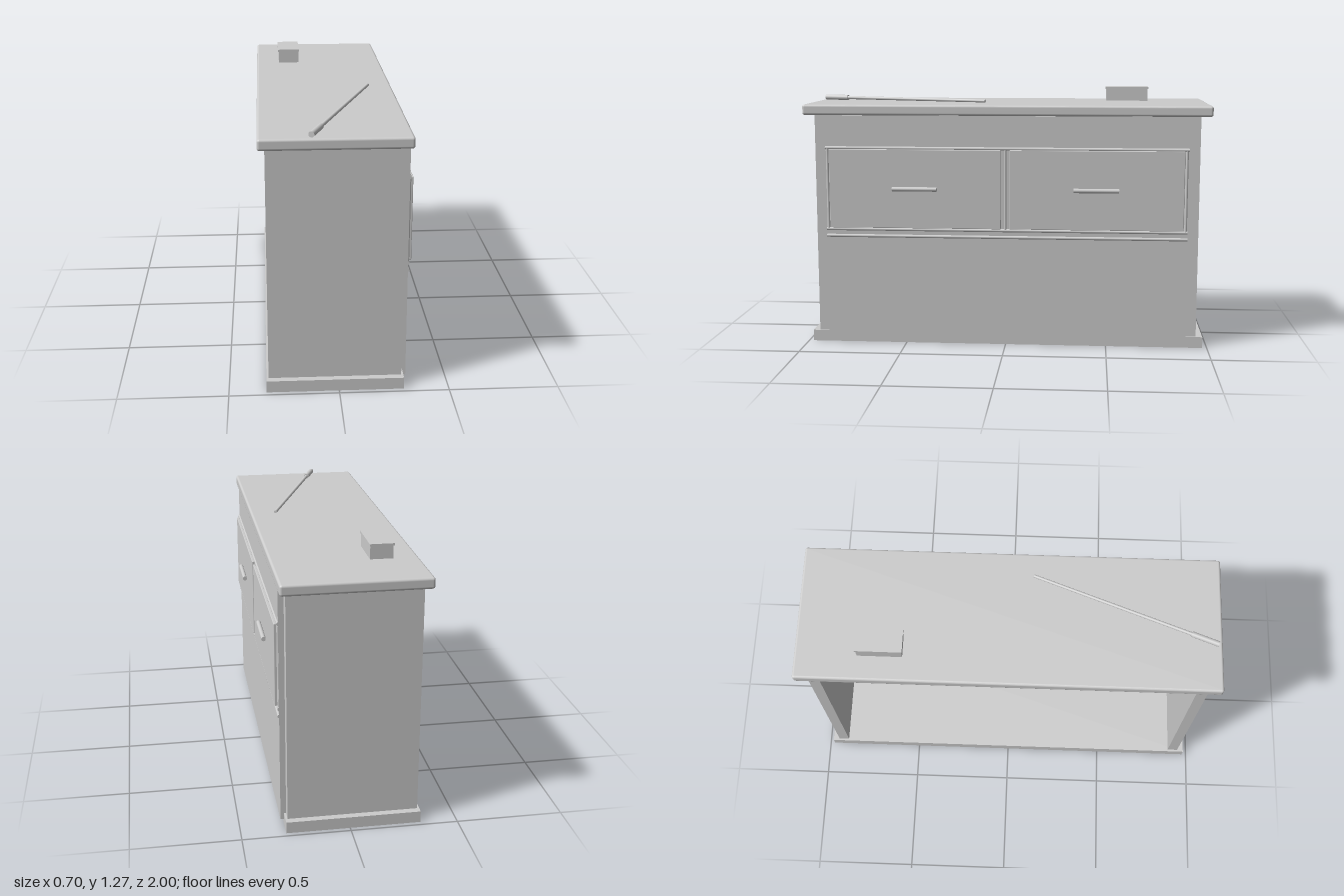
import * as THREE from 'three';
import { RoundedBoxGeometry } from 'three/addons/geometries/RoundedBoxGeometry.js';

export function createModel() {
  const model = new THREE.Group();
  model.name = 'dresser';
  const grey = new THREE.MeshStandardMaterial({ color: 0xcccccc });
  grey.name = 'plain grey';

  function add(name, geometry) {
    const mesh = new THREE.Mesh(geometry, grey);
    mesh.name = name;
    model.add(mesh);
    return mesh;
  }
  // Box given by its extents on each axis, optionally with rounded edges
  function box(name, [x0, x1], [y0, y1], [z0, z1], radius = 0) {
    const size = [x1 - x0, y1 - y0, z1 - z0];
    const geometry = radius
      ? new RoundedBoxGeometry(...size, 3, radius)
      : new THREE.BoxGeometry(...size);
    const mesh = add(name, geometry);
    mesh.position.set((x0 + x1) / 2, (y0 + y1) / 2, (z0 + z1) / 2);
    return mesh;
  }
  // Round bar between two points
  function rod(name, from, to, r0, r1 = r0, sides = 16) {
    const a = new THREE.Vector3(...from);
    const b = new THREE.Vector3(...to);
    const dir = b.clone().sub(a);
    const mesh = add(name, new THREE.CylinderGeometry(r1, r0, dir.length(), sides));
    mesh.position.copy(a).add(b).multiplyScalar(0.5);
    mesh.quaternion.setFromUnitVectors(new THREE.Vector3(0, 1, 0), dir.normalize());
    return mesh;
  }

  // Carcass, open at the back (-x)
  box('basePlinth', [-0.33, 0.295], [0, 0.055], [-0.977, 0.977]);
  box('tabletop', [-0.352, 0.316], [1.145, 1.197], [-1, 1], 0.012);
  box('drawerSidePanel', [0.26, 0.311], [0.025, 1.145], [-0.892, 0.892]);

  // Beads framing the drawers
  for (const y of [0.985, 0.581, 0.547]) {
    rod('horizontalBead', [0.31, y, -0.89], [0.31, y, 0.89], 0.008);
  }
  for (const z of [-0.88, 0, 0.88]) {
    rod('verticalBead', [0.31, 0.581, z], [0.31, 0.985, z], 0.007);
  }

  // End panels, drawer fronts and pulls, mirrored along z
  for (const s of [-1, 1]) {
    const span = (a, b) => (s > 0 ? [a, b] : [-b, -a]);
    box('endPanel', [-0.32, 0.285], [0.055, 1.145], span(0.892, 0.945));
    box('drawerFront', [0.305, 0.328], [0.59, 0.98], span(0.022, 0.87), 0.003);
    rod('drawerPull', [0.338, 0.786, s * 0.335], [0.338, 0.786, s * 0.555], 0.011);
  }

  // Small lidded box on the top
  box('smallBox', [-0.233, -0.127], [1.197, 1.258], [-0.706, -0.494]);
  box('smallBoxLid', [-0.237, -0.124], [1.257, 1.268], [-0.71, -0.49]);

  // Slim stick with a thicker grip lying across the top
  rod('stickShaft', [-0.078, 1.211, 0.86], [0.195, 1.211, 0.108], 0.0085, 0.0075);
  rod('stickGrip', [-0.122, 1.211, 0.98], [-0.076, 1.211, 0.854], 0.0135);

  return model;
}
